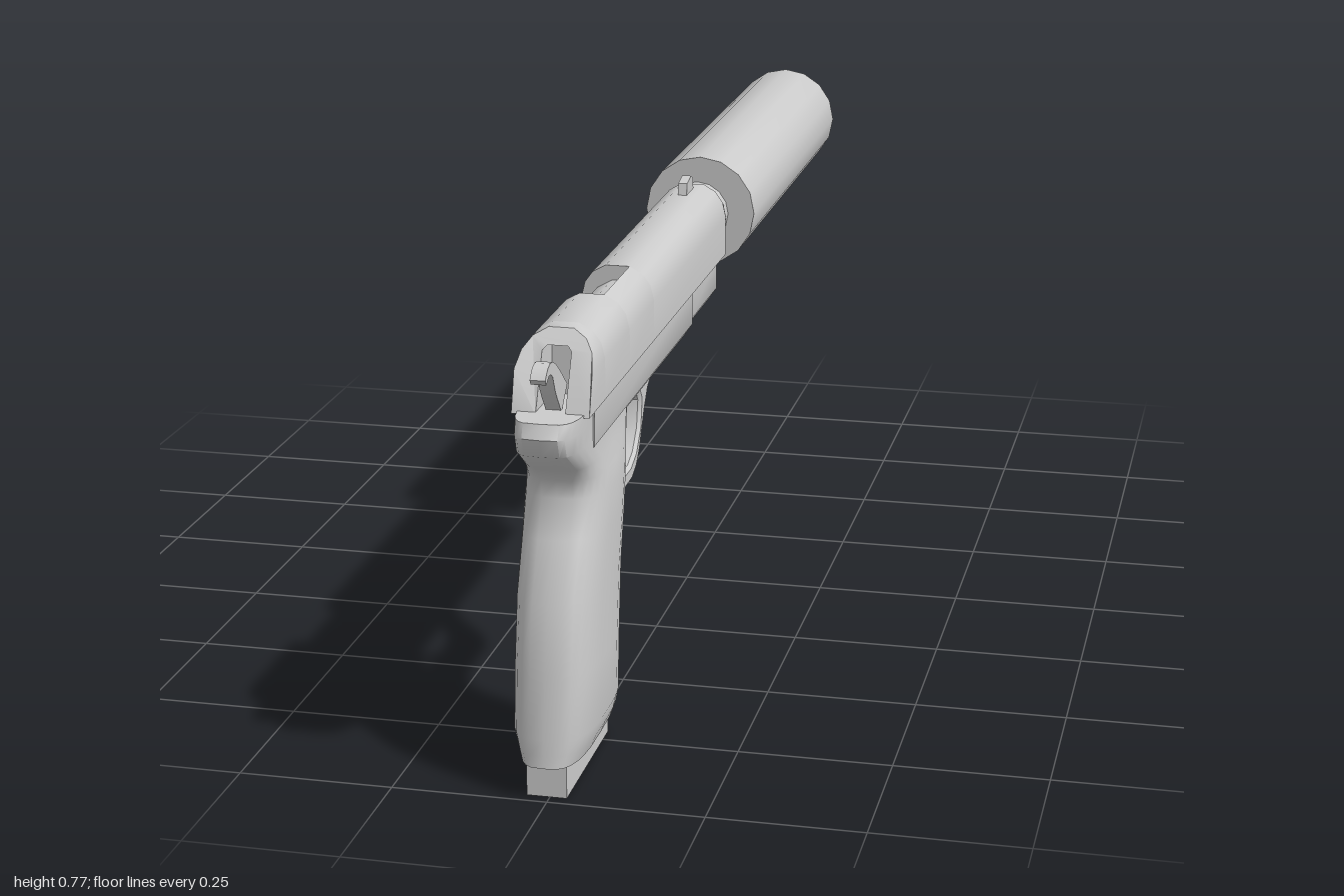
import * as THREE from 'three';
import { toCreasedNormals } from 'three/addons/utils/BufferGeometryUtils.js';

const material = new THREE.MeshStandardMaterial({ color: 0xcccccc, side: THREE.DoubleSide });

function part(name, geometry, crease = 0.6) {
  const mesh = new THREE.Mesh(toCreasedNormals(geometry, crease), material);
  mesh.name = name;
  return mesh;
}

const polygon = (points) => new THREE.Shape(points.map(([a, b]) => new THREE.Vector2(a, b)));

// Cross-section in x,y swept along z.
function section(points, z0, z1) {
  const geo = new THREE.ExtrudeGeometry(polygon(points), { depth: z1 - z0, bevelEnabled: false });
  return geo.translate(0, 0, z0);
}

// Side outline given as [z, y], extruded across x and centred.
function sidePlate(outline, width, bevel = 0, hole = null) {
  const flip = (pts) => pts.map(([z, y]) => new THREE.Vector2(-z, y));
  const shape = new THREE.Shape(flip(outline));
  if (hole) shape.holes.push(new THREE.Path(flip(hole)));
  const geo = new THREE.ExtrudeGeometry(shape, {
    depth: width - 2 * bevel, bevelEnabled: bevel > 0, bevelSize: bevel,
    bevelThickness: bevel, bevelOffset: -bevel, bevelSegments: 1, curveSegments: 6,
  });
  return geo.rotateY(Math.PI / 2).translate(-(width - 2 * bevel) / 2, 0, 0);
}

// Smooth curved blade: a centre line in [z, y] with a thickness at each point.
function blade(line, width) {
  const curve = new THREE.SplineCurve(line.map(([z, y]) => new THREE.Vector2(z, y)));
  const near = [], far = [], n = 10;
  for (let i = 0; i <= n; i++) {
    const p = curve.getPoint(i / n), t = curve.getTangent(i / n);
    const k = i / n * (line.length - 1), j = Math.min(Math.floor(k), line.length - 2);
    const h = THREE.MathUtils.lerp(line[j][2], line[j + 1][2], k - j) / 2;
    near.push([p.x - t.y * h, p.y + t.x * h]);
    far.unshift([p.x + t.y * h, p.y - t.x * h]);
  }
  return sidePlate([...near, ...far], width);
}

function lathe(points, sides) {
  const profile = points.map(([r, d]) => new THREE.Vector2(r, d));
  return new THREE.LatheGeometry(profile, sides).rotateX(-Math.PI / 2);
}

// Rounded rings stacked in y: [y, back z, front z, half width, squareness].
function loft(rings, sides = 28) {
  const pos = [], index = [];
  const power = (v, e) => Math.sign(v) * Math.abs(v) ** (2 / e);
  for (const [y, back, front, half, e] of rings) {
    for (let i = 0; i < sides; i++) {
      const a = (i / sides) * Math.PI * 2;
      pos.push(half * power(Math.cos(a), e), y,
        (back + front) / 2 + (back - front) / 2 * power(Math.sin(a), e));
    }
  }
  const last = (rings.length - 1) * sides;
  const low = pos.length / 3, high = low + 1;
  for (const r of [rings[0], rings[rings.length - 1]]) pos.push(0, r[0], (r[1] + r[2]) / 2);
  for (let i = 0; i < sides; i++) {
    const j = (i + 1) % sides;
    for (let k = 0; k < last; k += sides) {
      index.push(k + i, k + sides + i, k + j, k + j, k + sides + i, k + sides + j);
    }
    index.push(low, i, j, high, last + j, last + i);
  }
  const geo = new THREE.BufferGeometry();
  geo.setAttribute('position', new THREE.Float32BufferAttribute(pos, 3));
  geo.setIndex(index);
  return geo;
}

// Slide piece: its top rises slightly towards the muzzle and its rear end slopes.
function slidePiece(name, points, z0, z1) {
  const geo = section(points, z0, z1);
  const p = geo.attributes.position;
  for (let i = 0; i < p.count; i++) {
    const y = p.getY(i), z = p.getZ(i);
    const rear = y < 0.66 ? 0.93 - (y - 0.603) * 0.17 : 0.92 - (y - 0.66) * 0.95;
    p.setXYZ(i, p.getX(i), 0.603 + (y - 0.603) * (1.04 - 0.07 * z), Math.min(z, rear));
  }
  return part(name, geo);
}

function buildSlide() {
  const slide = new THREE.Group();
  slide.name = 'slide';
  const rightSide = [[0.061, 0.603], [0.061, 0.67], [0.055, 0.695], [0.042, 0.713], [0.02, 0.725]];
  const leftSide = rightSide.map(([x, y]) => [-x, y]).reverse();
  const full = [...rightSide, ...leftSide];
  const port = [...rightSide, [0.02, 0.702], [-0.01, 0.7], [-0.034, 0.687], [-0.046, 0.665],
    [-0.061, 0.655], [-0.061, 0.603]];
  const notched = [...full, [-0.023, 0.603], [-0.023, 0.695], [-0.016, 0.702],
    [0.016, 0.702], [0.023, 0.695], [0.023, 0.603]];
  slide.add(
    slidePiece('slideFront', full, -0.07, 0.5),
    slidePiece('ejectionPort', port, 0.5, 0.67),
    slidePiece('slideRear', full, 0.67, 0.83),
    slidePiece('hammerNotch', notched, 0.83, 0.94),
  );
  const sight = sidePlate([[0.02, 0.72], [0.012, 0.75], [-0.02, 0.757], [-0.035, 0.75], [-0.04, 0.72]], 0.016);
  slide.add(part('frontSight', sight));
  return slide;
}

function buildFrame() {
  const frame = new THREE.Group();
  frame.name = 'frame';
  const beam = (w, bottom) => [[-w, 0.605], [-w, bottom + 0.03], [-w + 0.015, bottom + 0.008],
    [-w + 0.025, bottom], [w - 0.025, bottom], [w - 0.015, bottom + 0.008], [w, bottom + 0.03], [w, 0.605]];
  frame.add(
    part('receiver', section(beam(0.056, 0.513), 0.185, 0.88)),
    part('dustCover', section(beam(0.053, 0.52), -0.03, 0.19)),
  );

  // Handle with the tang flowing out of its upper back.
  frame.add(part('grip', loft([
    [0.055, 1.0, 0.687, 0.052, 3.2],
    [0.075, 0.998, 0.693, 0.06, 3],
    [0.1, 0.995, 0.706, 0.067, 3],
    [0.2, 0.982, 0.703, 0.068, 3],
    [0.31, 0.962, 0.69, 0.068, 3],
    [0.4, 0.922, 0.668, 0.068, 3],
    [0.46, 0.896, 0.66, 0.068, 3],
    [0.49, 0.9, 0.645, 0.064, 3.2],
    [0.515, 0.925, 0.62, 0.058, 3.8],
    [0.555, 0.985, 0.6, 0.054, 4.5],
    [0.585, 0.996, 0.6, 0.054, 4.5],
    [0.607, 0.985, 0.6, 0.055, 4.5],
  ]), 0.8));

  const outline = [[0.7, 0.53], [0.72, 0.31], [0.69, 0.32], [0.67, 0.348], [0.63, 0.364], [0.52, 0.366],
    [0.49, 0.378], [0.465, 0.402], [0.43, 0.46], [0.405, 0.49], [0.36, 0.512], [0.36, 0.53]];
  const hole = [[0.655, 0.512], [0.665, 0.435], [0.655, 0.41], [0.635, 0.395], [0.53, 0.395],
    [0.495, 0.408], [0.465, 0.44], [0.455, 0.485], [0.475, 0.512]];
  frame.add(part('triggerGuard', sidePlate(outline, 0.056, 0.006, hole)));
  return frame;
}

export function createModel() {
  const model = new THREE.Group();
  model.name = 'pistol';

  const body = new THREE.Group();
  body.name = 'body';
  body.position.x = -0.005;
  body.add(buildSlide(), buildFrame());

  // Trigger, hammer and magazine foot.
  body.add(part('trigger', blade([[0.595, 0.52, 0.03], [0.615, 0.47, 0.018],
    [0.61, 0.44, 0.014], [0.587, 0.417, 0.008]], 0.024)));
  body.add(part('hammerSpur', blade([[0.89, 0.62, 0.05], [0.925, 0.655, 0.04],
    [0.95, 0.682, 0.022], [0.975, 0.689, 0.016], [0.996, 0.675, 0.01]], 0.024)));
  const foot = new THREE.BoxGeometry(0.064, 0.07, 0.265).translate(0, 0.035, 0.848);
  body.add(part('magazineFoot', foot));

  // Barrel end and long hollow-ended tube.
  const neck = part('barrelNeck', lathe([[0, 0], [0.06, 0.06], [0.06, 0.078], [0.05, 0.082],
    [0.05, 0.088], [0.057, 0.09], [0.057, 0.12]], 16));
  const tube = part('suppressor', lathe([[0, 0.11], [0.1, 0.11], [0.1, 0.945], [0.085, 1],
    [0.042, 1], [0.042, 0.85], [0, 0.85]], 16));
  neck.position.y = 0.668;
  tube.position.y = 0.671;
  body.add(neck);
  model.add(body, tube);
  return model;
}
